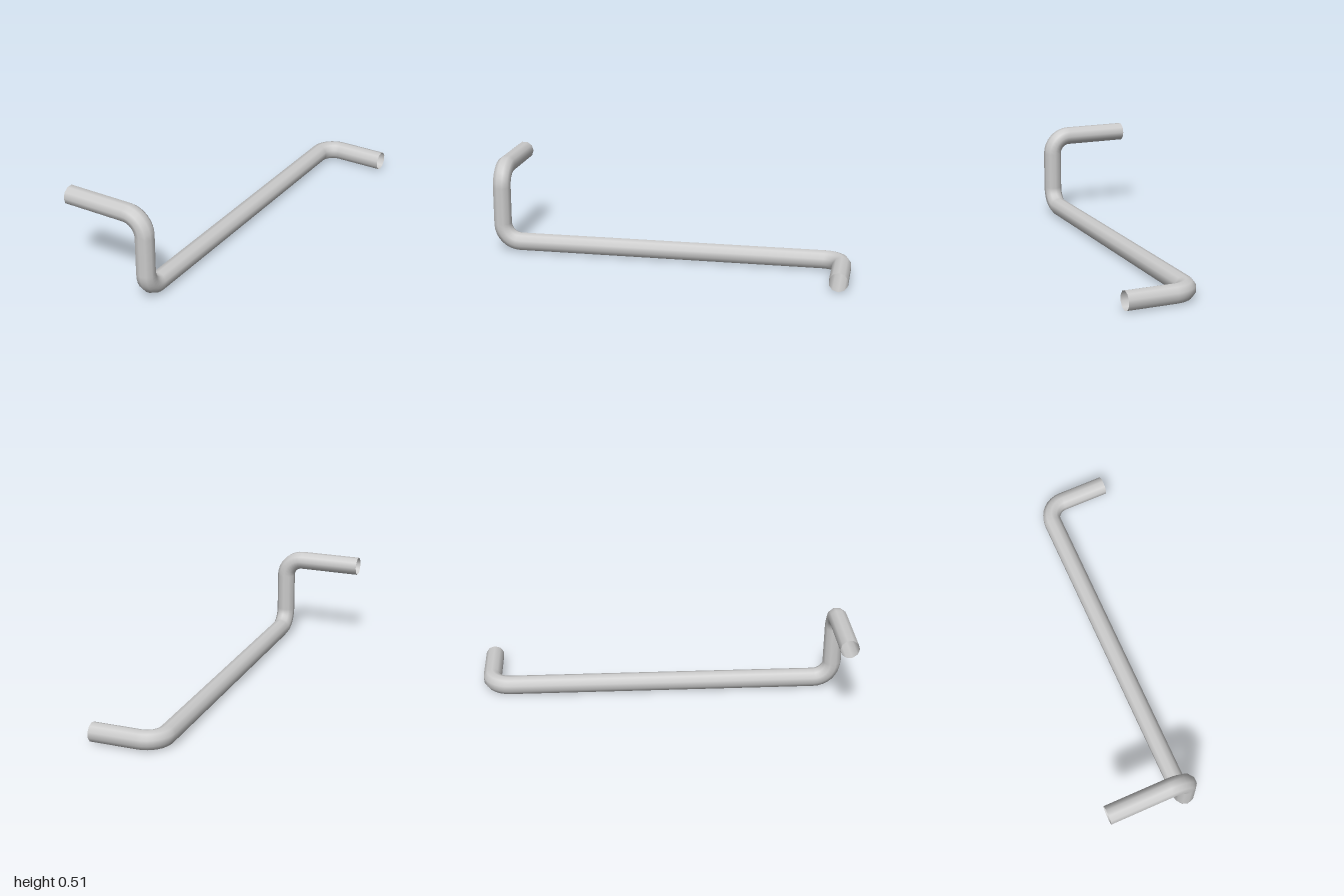
import * as THREE from 'three';

const RADIUS = 0.0515; // pipe radius (ten-sided)
const SIDES = 10;
const BEND = 0.103;    // centreline radius of every elbow
const BEND_STEPS = 8;

// Centreline stations (point + tangent): straight runs joined by circular elbows
function stations(corners) {
  const dirs = corners.slice(1).map((c, i) => c.clone().sub(corners[i]).normalize());
  const list = [{ p: corners[0], t: dirs[0] }];
  for (let i = 1; i < corners.length - 1; i++) {
    const a = dirs[i - 1], b = dirs[i];
    const centre = corners[i].clone().addScaledVector(a, -BEND).addScaledVector(b, BEND);
    for (let k = 0; k <= BEND_STEPS; k++) {
      const f = (k / BEND_STEPS) * Math.PI / 2, s = Math.sin(f), c = Math.cos(f);
      list.push({
        p: centre.clone().addScaledVector(a, BEND * s).addScaledVector(b, -BEND * c),
        t: a.clone().multiplyScalar(c).addScaledVector(b, s),
      });
    }
  }
  list.push({ p: corners[corners.length - 1], t: dirs[dirs.length - 1] });
  return list;
}

// Sweep an open, smooth-shaded ring along the stations without twisting it
function sweepPipe(path, startNormal) {
  const pos = [], nor = [], idx = [];
  const u = startNormal.clone(), q = new THREE.Quaternion();
  path.forEach(({ p, t }, i) => {
    if (i > 0) u.applyQuaternion(q.setFromUnitVectors(path[i - 1].t, t));
    const v = t.clone().cross(u);
    for (let j = 0; j < SIDES; j++) {
      const a = (j / SIDES) * Math.PI * 2;
      const n = u.clone().multiplyScalar(Math.cos(a)).addScaledVector(v, Math.sin(a));
      nor.push(n.x, n.y, n.z);
      n.multiplyScalar(RADIUS).add(p);
      pos.push(n.x, n.y, n.z);
      if (i > 0) {
        const k = (j + 1) % SIDES, r0 = (i - 1) * SIDES, r1 = i * SIDES;
        idx.push(r0 + j, r0 + k, r1 + j, r1 + j, r0 + k, r1 + k);
      }
    }
  });
  const g = new THREE.BufferGeometry();
  g.setAttribute('position', new THREE.Float32BufferAttribute(pos, 3));
  g.setAttribute('normal', new THREE.Float32BufferAttribute(nor, 3));
  g.setIndex(idx);
  return g;
}

export function createModel() {
  const group = new THREE.Group();
  group.name = 'bentPipe';

  // Front arm, upright, long run, back arm
  const corners = [
    [-0.408, 0.466, 0.9485],
    [0.0435, 0.466, 0.9485],
    [0.0435, 0.0515, 0.9485],
    [0.0435, 0.0515, -0.951],
    [0.408, 0.0515, -0.951],
  ].map((c) => new THREE.Vector3(...c));

  const pipe = new THREE.Mesh(
    sweepPipe(stations(corners), new THREE.Vector3(0, 0, 1)),
    new THREE.MeshStandardMaterial({ color: 0xcccccc, side: THREE.DoubleSide })
  );
  pipe.name = 'pipe';
  group.add(pipe);
  return group;
}
